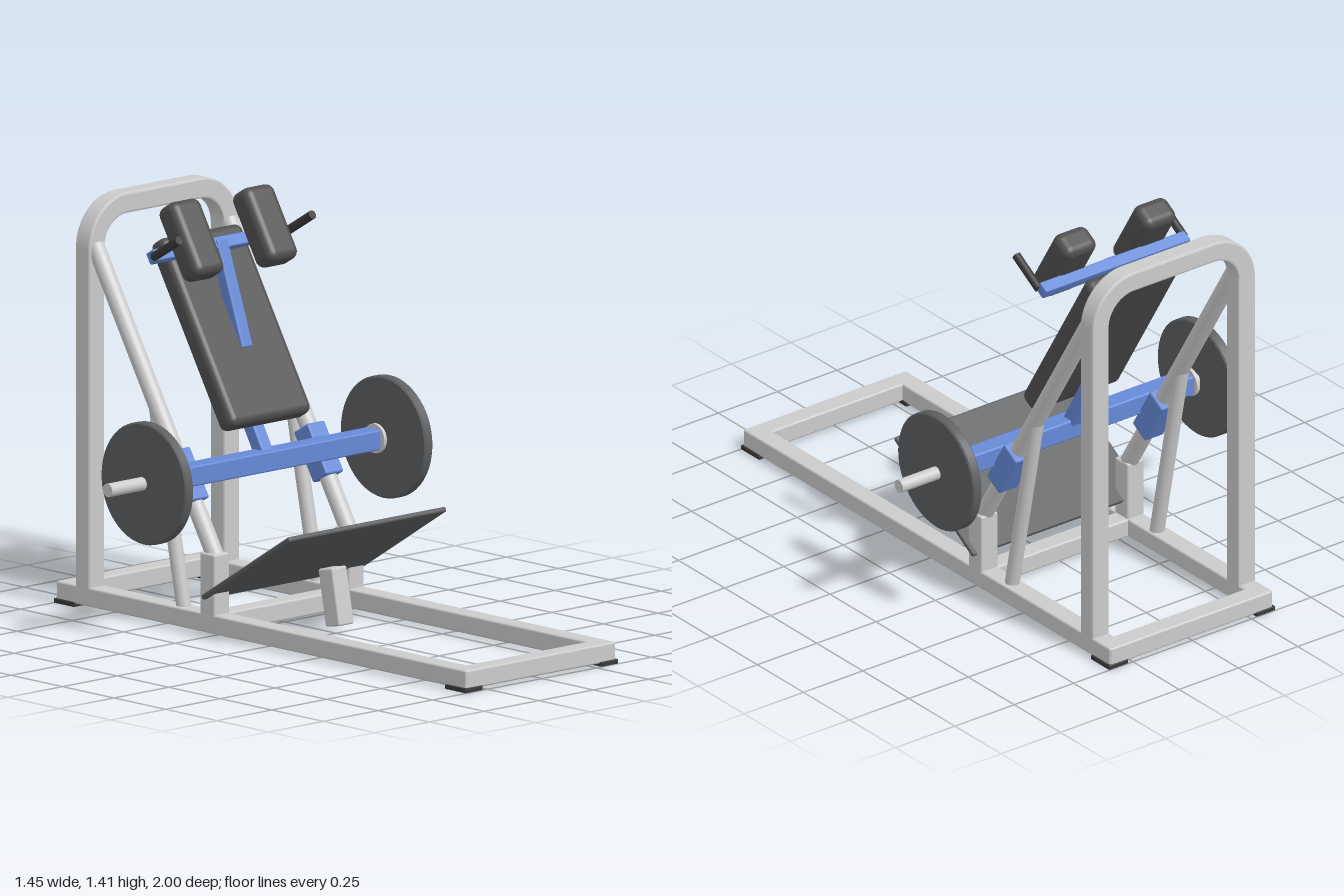
import * as THREE from 'three';
import { RoundedBoxGeometry } from 'three/addons/geometries/RoundedBoxGeometry.js';

export function createModel() {
  const model = new THREE.Group();
  const mat = (color) => new THREE.MeshStandardMaterial({ color });
  const steel = mat(0xcccccc);
  const blue = mat(0x668ad8);
  const padMat = mat(0x505050);
  const rubber = mat(0x383838);
  const plateMat = mat(0x5c5e60);
  const TILT = -0.541; // lean of the sled and pads

  function add(name, geometry, material, x, y, z, tilt = 0) {
    const mesh = new THREE.Mesh(geometry, material);
    mesh.name = name;
    mesh.position.set(x, y, z);
    mesh.rotation.x = tilt;
    model.add(mesh);
    return mesh;
  }
  const box = (w, h, d, r = 0.007, seg = 2) => new RoundedBoxGeometry(w, h, d, seg, r);

  // Bar between two [y, z] points at a given x, square or round
  function bar(name, material, x, [y0, z0], [y1, z1], w, d = w, round = false) {
    const len = Math.hypot(y1 - y0, z1 - z0);
    const geo = round ? new THREE.CylinderGeometry(w / 2, w / 2, len, 24) : box(w, len, d);
    return add(name, geo, material, x, (y0 + y1) / 2, (z0 + z1) / 2, Math.atan2(z1 - z0, y1 - y0));
  }
  // Cylinder lying along x
  function axle(name, material, x0, x1, r, y, z, seg = 28) {
    const mesh = add(name, new THREE.CylinderGeometry(r, r, Math.abs(x1 - x0), seg), material, (x0 + x1) / 2, y, z);
    mesh.rotation.z = Math.PI / 2;
    return mesh;
  }

  // Base frame cross members
  for (const [name, z, w] of [['frontBeam', 0.96, 0.68], ['rearBeam', -0.962, 0.68], ['middleBeam', -0.265, 0.6]]) {
    add(name, box(w, 0.065, 0.07), steel, 0, 0.0425, z);
  }

  // Rear hoop: an upside-down U of square tube
  const hoop = new THREE.Shape();
  const w = 0.343, t = 0.07, top = 1.395, R = 0.175, foot = 0.06;
  hoop.moveTo(-w, foot);
  hoop.lineTo(-w, top - R);
  hoop.absarc(-w + R, top - R, R, Math.PI, Math.PI / 2, true);
  hoop.lineTo(w - R, top);
  hoop.absarc(w - R, top - R, R, Math.PI / 2, 0, true);
  hoop.lineTo(w, foot);
  hoop.lineTo(w - t, foot);
  hoop.lineTo(w - t, top - R);
  hoop.absarc(w - R, top - R, R - t, 0, Math.PI / 2, false);
  hoop.lineTo(-w + R, top - t);
  hoop.absarc(-w + R, top - R, R - t, Math.PI / 2, Math.PI, false);
  hoop.lineTo(-w + t, foot);
  hoop.closePath();
  const hoopGeo = new THREE.ExtrudeGeometry(hoop, {
    depth: 0.056, curveSegments: 16, bevelSize: 0.007, bevelThickness: 0.007, bevelOffset: -0.007, bevelSegments: 2,
  });
  add('rearHoop', hoopGeo, steel, 0, 0, -0.895);

  // Parts mirrored left and right
  for (const s of [-1, 1]) {
    const side = s > 0 ? 'left' : 'right';
    const x = s * 0.308;
    add(side + 'BaseRail', box(0.07, 0.065, 1.99), steel, x, 0.0425, 0);
    for (const z of [-0.95, 0.95]) {
      add(side + 'Foot', box(0.08, 0.016, 0.1, 0.003), rubber, s * 0.31, 0.008, z);
    }
    add(side + 'RodPost', box(0.07, 0.215, 0.072), steel, x, 0.1725, -0.262);
    bar(side + 'GuideRod', steel, s * 0.305, [0.26, -0.258], [1.235, -0.845], 0.06, 0.06, true);
    bar(side + 'Brace', steel, s * 0.305, [0.07, -0.415], [0.76, -0.555], 0.05, 0.05, true);

    // Sled carriage and weight
    add(side + 'Carriage', box(0.08, 0.185, 0.08), blue, s * 0.307, 0.51, -0.41, TILT);
    axle(side + 'Collar', steel, s * 0.494, s * 0.506, 0.05, 0.538, -0.34);
    axle(side + 'WeightHorn', steel, s * 0.48, s * 0.724, 0.023, 0.538, -0.34);
    const disc = [[0, -0.019], [0.202, -0.019], [0.207, -0.014], [0.207, 0.014], [0.202, 0.019], [0, 0.019]];
    // Each band gets its own vertices so the rim stays crisp
    const weight = new THREE.Group();
    weight.name = side + 'WeightPlate';
    for (let i = 0; i < disc.length - 1; i++) {
      const pts = [disc[i], disc[i + 1]].map(([r, y]) => new THREE.Vector2(r, y));
      weight.add(new THREE.Mesh(new THREE.LatheGeometry(pts, 48), plateMat));
    }
    weight.position.set(s * 0.547, 0.538, -0.335);
    weight.rotation.z = Math.PI / 2;
    model.add(weight);

    // Shoulder pad and hand grip
    add(side + 'ShoulderPad', box(0.136, 0.27, 0.098, 0.03, 5), padMat, s * 0.168, 1.28, -0.523, TILT);
    bar(side + 'Grip', rubber, s * 0.305, [1.238, -0.56], [1.312, -0.438], 0.03, 0.03, true);
  }

  // Sled crossbar, back pad and its stem
  add('sledCrossbar', box(0.99, 0.07, 0.07), blue, 0, 0.538, -0.34);
  bar('padStem', blue, 0, [0.54, -0.34], [0.8, -0.49], 0.05);
  add('backPad', box(0.37, 0.685, 0.08, 0.026, 5), padMat, 0, 0.96, -0.51, TILT);

  // Shoulder yoke
  add('yokeBar', box(0.61, 0.042, 0.042, 0.005), blue, 0, 1.235, -0.572, TILT);
  bar('yokeStem', blue, 0, [1.25, -0.572], [0.9, -0.447], 0.05, 0.045);

  // Foot plate and its support post
  bar('footPlate', plateMat, 0, [0.13, -0.272], [0.396, 0.155], 0.72, 0.018);
  bar('footPlatePost', steel, 0, [0.03, 0.019], [0.222, -0.018], 0.07);

  return model;
}
